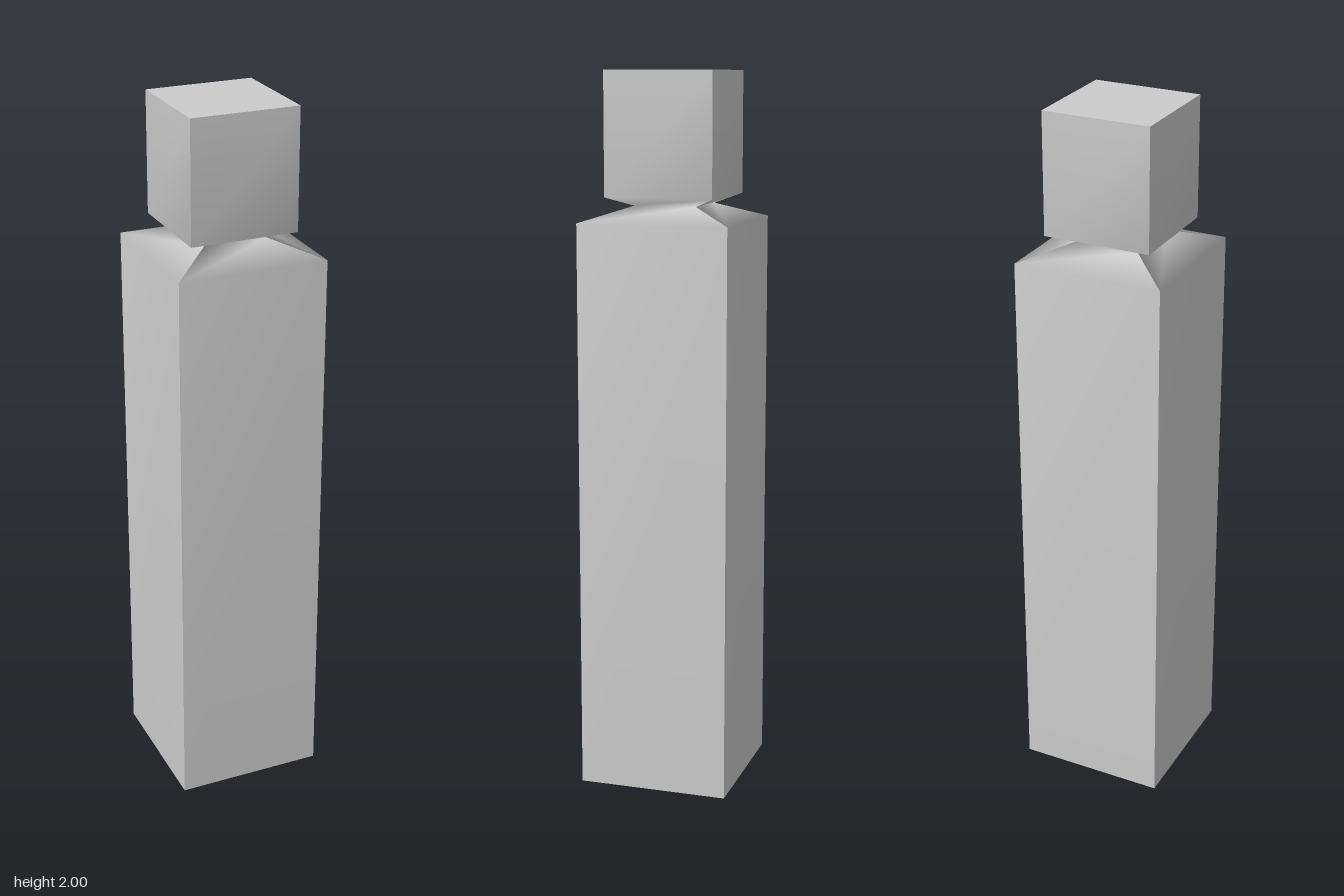
import * as THREE from 'three';

// Square profile from top to bottom: [half width, height]
const PROFILE = [[0.152, 2], [0.152, 1.662], [0.088, 1.637], [0.211, 1.595], [0.211, 0]];

// One side of the square post: a strip following the profile, smooth along its height
function sideGeometry() {
  const g = new THREE.PlaneGeometry(2, 1, 1, PROFILE.length - 1);
  const p = g.attributes.position;
  for (let i = 0; i < p.count; i++) {
    const [half, y] = PROFILE[Math.floor(i / 2)];
    p.setXYZ(i, Math.sign(p.getX(i)) * half, y, half);
  }
  g.computeVertexNormals();
  return g;
}

export function createModel() {
  const model = new THREE.Group();
  model.name = 'squarePost';
  const grey = new THREE.MeshStandardMaterial({ color: 0xcccccc });
  grey.name = 'light grey';

  // Four sides, sharp at the corners
  const side = sideGeometry();
  ['front', 'left', 'back', 'right'].forEach((name, i) => {
    const mesh = new THREE.Mesh(side, grey);
    mesh.name = name + 'Side';
    mesh.rotation.y = i * Math.PI / 2;
    model.add(mesh);
  });

  // Flat caps closing the head and the base
  const addCap = (name, [half, y], turn) => {
    const cap = new THREE.Mesh(new THREE.PlaneGeometry(half * 2, half * 2), grey);
    cap.name = name;
    cap.rotation.x = turn;
    cap.position.y = y;
    model.add(cap);
  };
  addCap('headTop', PROFILE[0], -Math.PI / 2);
  addCap('baseBottom', PROFILE[PROFILE.length - 1], Math.PI / 2);

  return model;
}
